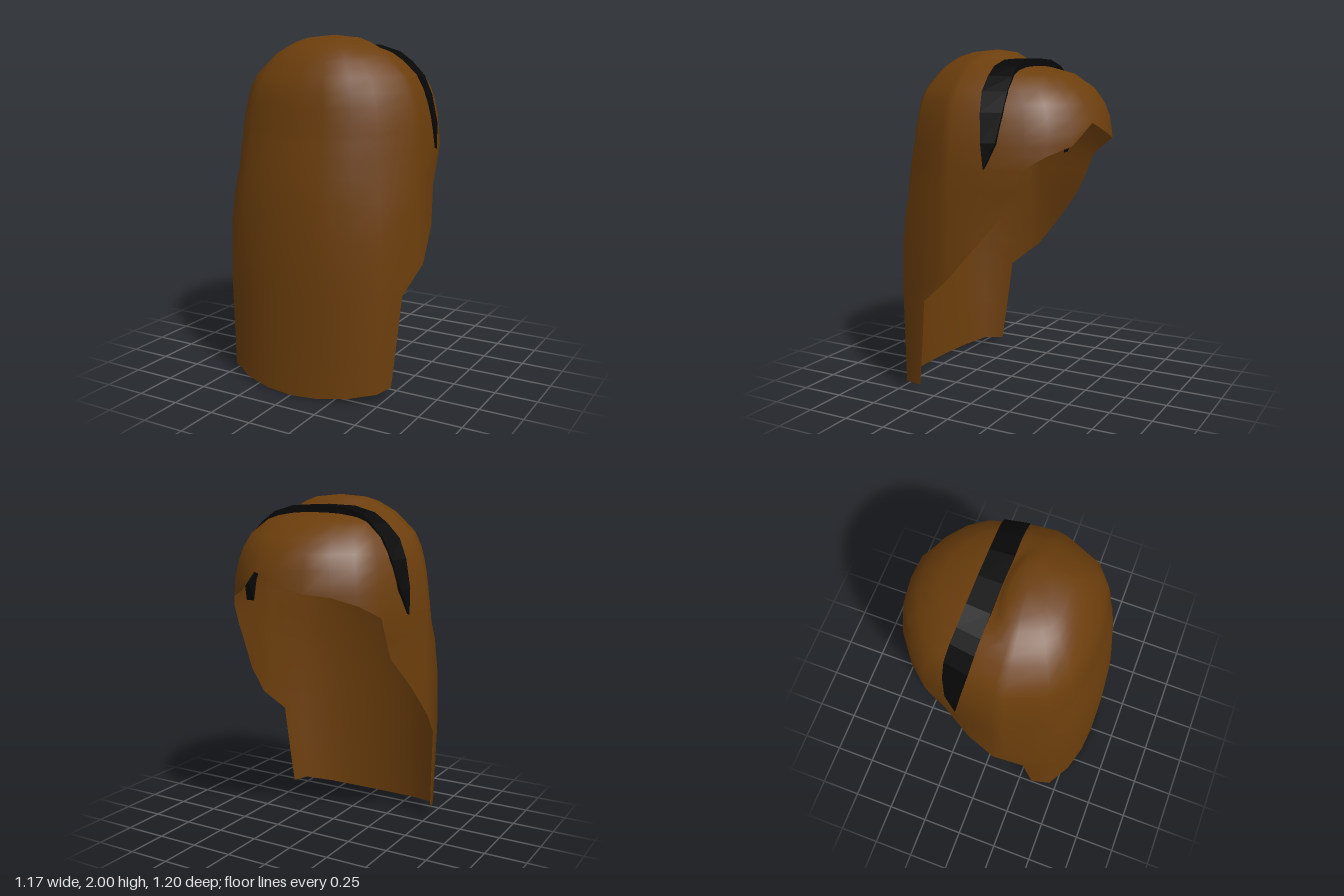
import * as THREE from 'three';
import { mergeVertices } from 'three/addons/utils/BufferGeometryUtils.js';

const hairBrown = new THREE.MeshStandardMaterial({ color: 0x6c3e0c, side: THREE.DoubleSide });
hairBrown.name = 'hair brown';
const bandBlack = new THREE.MeshStandardMaterial({ color: 0x080808, side: THREE.DoubleSide });
bandBlack.name = 'band black';

// Skin rows of points (all the same length) into one surface; null points leave it open
function loft(rows, smooth) {
  const position = [], index = [];
  const ids = rows.map((row) => row.map((p) => (p ? position.push(...p) / 3 - 1 : -1)));
  for (let i = 0; i < rows.length - 1; i++) {
    for (let j = 0; j < rows[0].length - 1; j++) {
      const quad = [ids[i][j], ids[i][j + 1], ids[i + 1][j + 1], ids[i + 1][j]].filter((id) => id >= 0);
      for (let k = 2; k < quad.length; k++) index.push(quad[0], quad[k - 1], quad[k]);
    }
  }
  let geo = new THREE.BufferGeometry();
  geo.setAttribute('position', new THREE.Float32BufferAttribute(position, 3));
  geo.setIndex(index);
  geo = smooth ? mergeVertices(geo, 1e-4) : geo.toNonIndexed();
  geo.computeVertexNormals();
  return geo;
}

// Half of the hair's horizontal outline, from the middle of the +z side round to the -z side
const OUTLINE = [
  [0, 1], [0.29, 0.97], [0.58, 0.88], [0.84, 0.715], [0.975, 0.14], [1, 0],
  [0.96, -0.3], [0.86, -0.6], [0.72, -0.755], [0.51, -0.885], [0.28, -0.97], [0, -1],
];
const LAST = OUTLINE.length - 1;
const CORNER = 3;
const CENTRE_Z = 0.09;

// Hair levels: height, half width, z of the +z side, z of the -z side, z of the opening's edge
const LEVELS = [
  [0, 0.568, 0.6, -0.6, 0.34],
  [0.3, 0.577, 0.6, -0.6, 0.31],
  [0.58, 0.587, 0.6, -0.6, 0.28],
  [0.73, 0.585, 0.6, -0.6, 0.1],
  [0.92, 0.578, 0.595, -0.5, -0.06],
  [1.12, 0.574, 0.58, -0.43, -0.22],
  [1.24, 0.572, 0.563, -0.52, -0.275],
  [1.36, 0.567, 0.545, -0.6, -0.323],
  [1.43, 0.56, 0.53, -0.6, -0.425],
  [1.48, 0.555, 0.522, -0.6, -0.52],
  [1.54, 0.547, 0.515, -0.6, -0.6],
  [1.62, 0.53, 0.503, -0.582, -1],
  [1.7, 0.505, 0.49, -0.55, -1],
  [1.78, 0.465, 0.46, -0.49, -1],
  [1.86, 0.38, 0.405, -0.37, -1],
  [1.9, 0.335, 0.37, -0.2, -1],
  [1.93, 0.28, 0.335, -0.06, -1],
  [1.96, 0.225, 0.29, -0.03, -1],
  [1.985, 0.155, 0.21, 0, -1],
  [2, 0, CENTRE_Z, CENTRE_Z, -1],
];

// One level: the outline runs round the +z side and stops at the opening's edge
function hairRow([y, w, front, back, edge], level) {
  const f = front - CENTRE_Z, b = CENTRE_Z - back;
  let limit = LAST;
  if (edge > back) {
    const v = (edge - CENTRE_Z) / (edge > CENTRE_Z ? f : b);
    const k = OUTLINE.findIndex((p) => p[1] < v) - 1;
    limit = k + (OUTLINE[k][1] - v) / (OUTLINE[k][1] - OUTLINE[k + 1][1]);
  }
  const row = [];
  for (let j = -LAST; j <= LAST; j++) {
    if (Math.abs(j) > Math.ceil(limit)) {
      row.push(null);
      continue;
    }
    const t = Math.min(Math.abs(j), limit), k = Math.min(Math.floor(t), LAST - 1);
    // The corners get rounder towards the top
    const round = t === CORNER ? 1 - 0.06 * THREE.MathUtils.smoothstep(y, 1, 1.3) : 1;
    const u = THREE.MathUtils.lerp(OUTLINE[k][0], OUTLINE[k + 1][0], t - k) * round;
    const v = THREE.MathUtils.lerp(OUTLINE[k][1], OUTLINE[k + 1][1], t - k) * round;
    const x = Math.sign(j) * u * w;
    let lift = 0;
    // The hem dips in the middle
    if (level === 0) lift = 0.055 * (x / 0.505) ** 2;
    // The fringe parts a little to the left
    if (y === 1.54 && Math.abs(j) === LAST - 1) lift = j > 0 ? 0.06 : -0.045;
    row.push([x, y + lift, CENTRE_Z + v * (v > 0 ? f : b)]);
  }
  return row;
}

// Headband half arch: x, y, z of the +z edge, z of the -z edge
const BAND = [
  [0, 1.947, -0.045, -0.18], [0.17, 1.94, -0.045, -0.18], [0.3, 1.905, -0.05, -0.185],
  [0.38, 1.85, -0.055, -0.195], [0.461, 1.77, -0.062, -0.203], [0.511, 1.66, -0.078, -0.2],
  [0.549, 1.5, -0.1, -0.18], [0.557, 1.36, -0.12, -0.121],
];

// Four-sided band, narrower towards -z, that tapers to a point at both ends
function bandGeometry() {
  const arch = [...BAND.slice(1).reverse().map(([x, ...rest]) => [-x, ...rest]), ...BAND];
  const rows = arch.map(([x, y, zf, zb]) => {
    const xi = x * 0.88, yi = 1.36 + (y - 1.36) * 0.88;
    const xb = x * (1 - 0.4 * (zf - zb));
    return [[xi, yi, zf], [xi, yi, zb], [xb, y, zb], [x, y, zf], [xi, yi, zf]];
  });
  return loft(rows, false);
}

export function createModel() {
  const group = new THREE.Group();
  group.name = 'hairWithHeadband';

  const hair = new THREE.Mesh(loft(LEVELS.map(hairRow), true), hairBrown);
  hair.name = 'hair';
  group.add(hair);

  const band = new THREE.Mesh(bandGeometry(), bandBlack);
  band.name = 'headband';
  group.add(band);

  return group;
}
